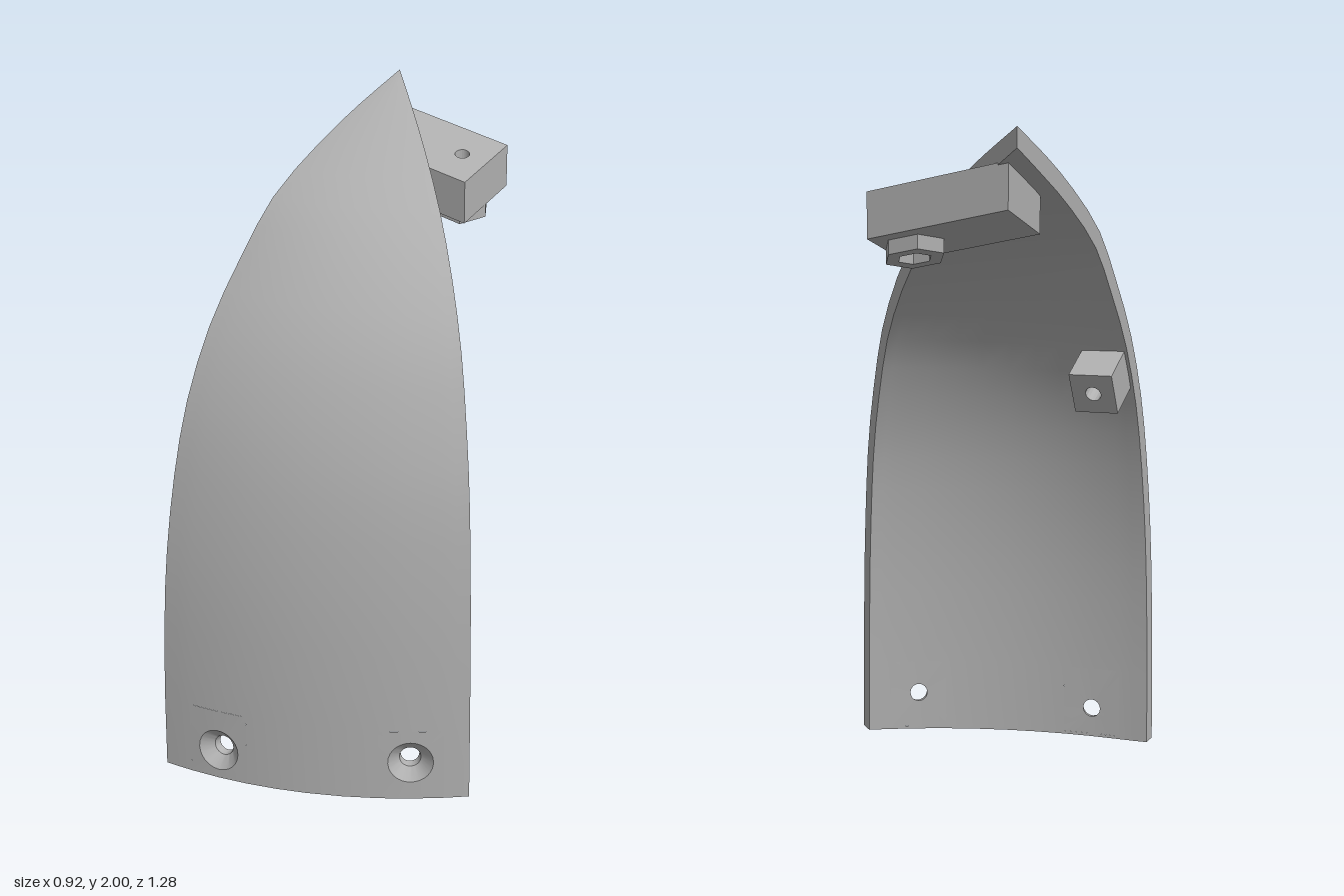
import * as THREE from 'three';
import { toCreasedNormals } from 'three/addons/utils/BufferGeometryUtils.js';

const R = 1.28, T = 0.058, SMAX = R * Math.PI / 4;
const AX = -0.46, AZ = -0.64; // vertical axis of the dome

// Profile as (height, radius at straight edge, radius at slanted edge)
const profile = new THREE.CatmullRomCurve3([
  [0, 1.28, 1.295], [0.35, 1.265, 1.285], [0.7, 1.23, 1.265], [1, 1.165, 1.225],
  [1.2, 1.095, 1.165], [1.4, 0.98, 1.075], [1.58, 0.82, 0.92], [1.72, 0.67, 0.73],
  [1.84, 0.44, 0.48], [1.92, 0.24, 0.26], [2, 0, 0],
].map(p => new THREE.Vector3(...p))).getPoints(200);

function radius(s, y) {
  let i = 1;
  while (i < profile.length - 1 && profile[i].x < y) i++;
  const a = profile[i - 1], b = profile[i], k = (y - a.x) / (b.x - a.x), t = s / SMAX;
  const r = THREE.MathUtils.lerp(a.y + (b.y - a.y) * k, a.z + (b.z - a.z) * k, t);
  return r * (1 - 0.06 * t * (1 - t));
}

// Point on the shell: s runs around, y up, depth goes inward from the outer face
function surf(s, y, depth = 0) {
  const y0 = Math.max(0, y - 0.02), y1 = Math.min(2, y + 0.02);
  const g = (radius(s, y1) - radius(s, y0)) / (y1 - y0), len = Math.hypot(1, g);
  const r0 = radius(s, y);
  const r = Math.max(0, r0 - depth / len * Math.min(1, r0 / 0.2));
  const h = Math.max(0, y + 0.035 * s / SMAX * (1 - y / 2) + depth * g / len);
  return new THREE.Vector3(AX + r * Math.sin(s / R), h, AZ + r * Math.cos(s / R));
}

function shellGeometry() {
  const pos = [];
  const quad = (a, b, c, d) => { for (const p of [a, b, c, a, c, d]) pos.push(p.x, p.y, p.z); };
  const band = (A, B, flip) => {
    for (let i = 0; i < A.length - 1; i++) {
      if (flip) quad(A[i + 1], A[i], B[i], B[i + 1]);
      else quad(A[i], A[i + 1], B[i + 1], B[i]);
    }
  };
  const holes = [{ s: 0.2, y: 0.1 }, { s: 0.827, y: 0.13 }];
  const cols = [0, 0.05, 0.1, 0.2, 0.3, 0.4, 0.5, 0.615, 0.727, 0.827, 0.927, 0.966, SMAX];
  const rows = [0, 0.01, 0.24];
  for (let i = 1; i <= 22; i++) rows.push(0.24 + 1.76 * Math.sin(i / 22 * Math.PI / 2));

  // Outer and inner faces, leaving out the cells around the holes
  for (const depth of [0, T]) {
    for (let j = 0; j < rows.length - 1; j++) for (let i = 0; i < cols.length - 1; i++) {
      const mid = (cols[i] + cols[i + 1]) / 2;
      if (j === 1 && holes.some(h => Math.abs(mid - h.s) < 0.1)) continue;
      band([surf(cols[i], rows[j], depth), surf(cols[i + 1], rows[j], depth)],
        [surf(cols[i], rows[j + 1], depth), surf(cols[i + 1], rows[j + 1], depth)], depth > 0);
    }
  }

  // Countersunk screw holes
  for (const h of holes) {
    const corners = [[-0.1, 0.01], [0.1, 0.01], [0.1, 0.24], [-0.1, 0.24], [-0.1, 0.01]];
    const edge = [];
    for (let k = 0; k < 4; k++) for (let i = 0; i < 8; i++) {
      const [a, b] = [corners[k], corners[k + 1]];
      edge.push([a[0] + (b[0] - a[0]) * i / 8, a[1] + (b[1] - a[1]) * i / 8]);
    }
    edge.push(edge[0]);
    const rect = depth => edge.map(([s, y]) => surf(h.s + s, y, depth));
    const circle = (r, depth) => edge.map(([s, y]) => {
      const a = Math.atan2(y - h.y, s);
      return surf(h.s + r * Math.cos(a), h.y + r * Math.sin(a), depth);
    });
    band(rect(0), circle(0.07, 0));
    band(circle(0.07, 0), circle(0.034, 0.034));
    band(circle(0.034, 0.034), circle(0.03, T));
    band(rect(T), circle(0.03, T), true);
  }

  // Cut faces: straight side, slanted side and base
  const side = (s, depth) => rows.map(y => surf(s, y, depth));
  band(side(0, T), side(0, 0), true);
  band(side(SMAX, T), side(SMAX, 0));
  band(cols.map(s => surf(s, 0, T)), cols.map(s => surf(s, 0, 0)));

  const geo = new THREE.BufferGeometry();
  geo.setAttribute('position', new THREE.Float32BufferAttribute(pos, 3));
  return toCreasedNormals(geo, 0.6);
}

function polygon(n, r, cx, cy, Type = THREE.Shape) {
  const pts = [];
  for (let i = 0; i < n; i++) {
    const a = i / n * Math.PI * 2;
    pts.push(new THREE.Vector2(cx + r * Math.cos(a), cy + r * Math.sin(a)));
  }
  return new Type(pts);
}

function rectangle(x0, y0, x1, y1) {
  return new THREE.Shape([[x0, y0], [x1, y0], [x1, y1], [x0, y1]].map(p => new THREE.Vector2(...p)));
}

// Upright prism from a plan outline, sheared to follow the sloping top of the dome
function slopedPrism(shape, bottom, depth) {
  const geo = new THREE.ExtrudeGeometry(shape, { depth, bevelEnabled: false });
  geo.rotateX(-Math.PI / 2);
  const p = geo.attributes.position;
  for (let i = 0; i < p.count; i++) {
    p.setY(i, p.getY(i) + bottom - 0.19 * (p.getX(i) - 0.02) - 0.28 * (p.getZ(i) + 0.55));
  }
  geo.computeVertexNormals();
  return geo;
}

export function createModel() {
  const model = new THREE.Group();
  const grey = new THREE.MeshStandardMaterial({ color: 0xb0b0b0 });
  grey.name = 'grey plastic';
  const add = (name, geo) => {
    const mesh = new THREE.Mesh(geo, grey);
    mesh.name = name;
    model.add(mesh);
    return mesh;
  };

  add('curvedPanel', shellGeometry());

  // Mounting tab near the tip, with a bolt hole and a hexagonal nut holder below
  const tab = rectangle(-0.4, 0.31, 0.02, 0.55);
  tab.holes.push(polygon(20, 0.023, -0.07, 0.43, THREE.Path));
  add('topTab', slopedPrism(tab, 1.705, 0.13));
  const nut = polygon(6, 0.09, -0.07, 0.43);
  nut.holes.push(polygon(6, 0.05, -0.07, 0.43, THREE.Path));
  add('nutHolder', slopedPrism(nut, 1.665, 0.045));

  // Small drilled block inside the straight edge
  const block = rectangle(-0.07, -0.07, 0.07, 0.07);
  block.holes.push(polygon(16, 0.025, 0, 0, THREE.Path));
  const lug = add('sideLug', new THREE.ExtrudeGeometry(block, { depth: 0.18, bevelEnabled: false }).translate(0, 0, -0.07));
  lug.position.set(-0.38, 1.25, 0.28);
  lug.rotation.x = -0.5;

  return model;
}
